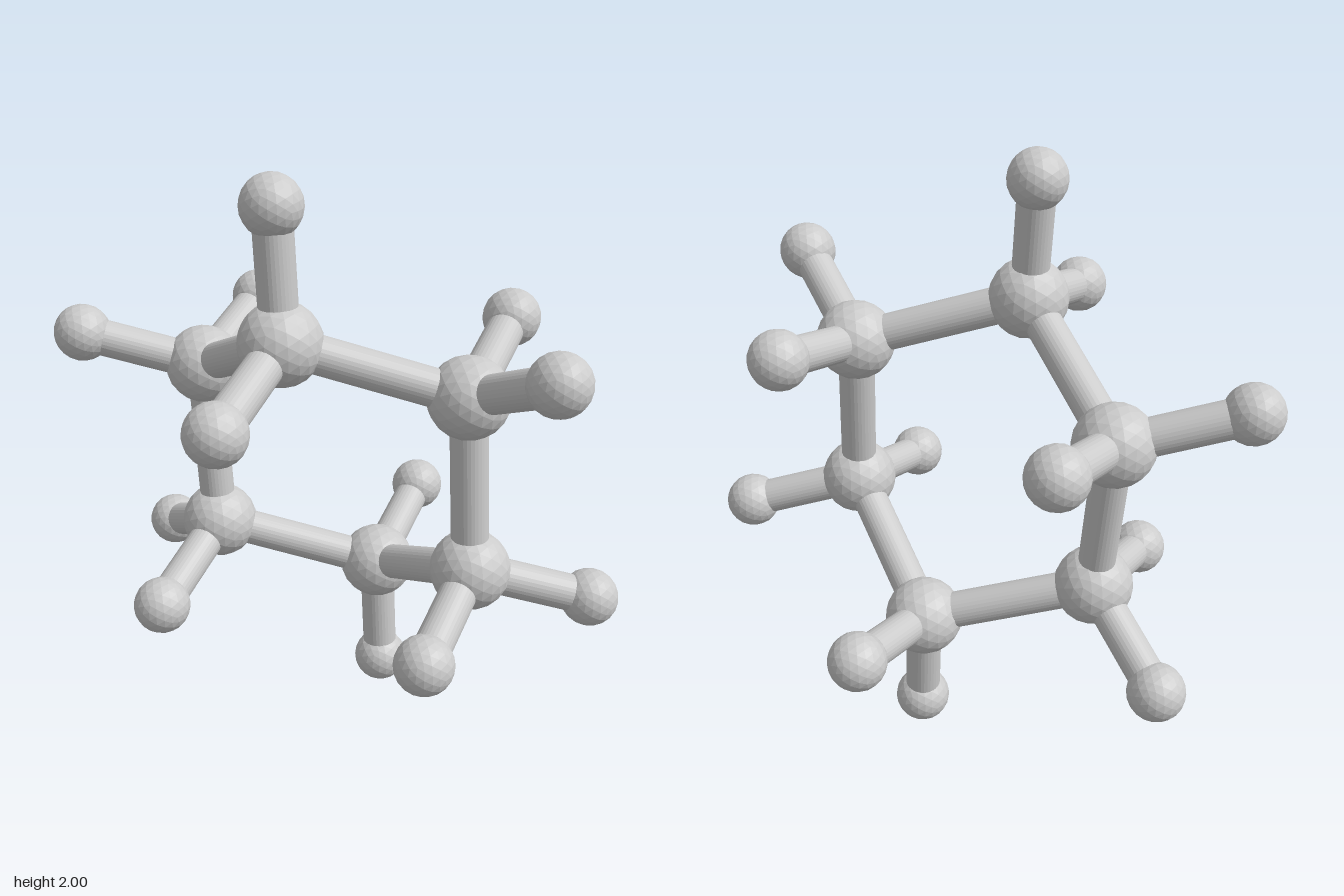
import * as THREE from 'three';

const material = new THREE.MeshStandardMaterial({ color: 0xcccccc, flatShading: true });
const CORE_RADIUS = 0.13, TIP_RADIUS = 0.094, BOND_RADIUS = 0.06;

// Half of the ring: each core atom with its two outer atoms, relative to the centre.
// The other half is the same set reflected through the centre.
const half = [
  { core: [-0.083, 0.504, 0.235], tips: [[-0.111, 0.906, 0.21], [-0.119, 0.39, 0.627]] },
  { core: [0.447, 0.331, 0.05], tips: [[0.738, 0.509, 0.262], [0.485, 0.446, -0.347]] },
  { core: [0.492, -0.248, 0.09], tips: [[0.86, -0.366, -0.054], [0.45, -0.36, 0.472]] },
];

export function createModel() {
  const model = new THREE.Group();
  model.name = 'ringMolecule';

  const coreGeometry = new THREE.IcosahedronGeometry(CORE_RADIUS, 3);
  const tipGeometry = new THREE.IcosahedronGeometry(TIP_RADIUS, 3);
  const up = new THREE.Vector3(0, 1, 0);

  function addAtom(name, geometry, position) {
    const atom = new THREE.Mesh(geometry, material);
    atom.name = name;
    atom.position.copy(position);
    model.add(atom);
  }

  // Round rod joining two atom centres
  function addBond(name, a, b) {
    const direction = b.clone().sub(a);
    const geometry = new THREE.CylinderGeometry(BOND_RADIUS, BOND_RADIUS, direction.length(), 32);
    const bond = new THREE.Mesh(geometry, material);
    bond.name = name;
    bond.position.copy(a).lerp(b, 0.5);
    bond.quaternion.setFromUnitVectors(up, direction.normalize());
    model.add(bond);
  }

  // Cores in order around the ring, with their outer atoms
  const cores = [];
  for (const sign of [1, -1]) {
    const place = (p) => new THREE.Vector3(...p).multiplyScalar(sign).add(up);
    for (const { core, tips } of half) {
      const centre = place(core);
      cores.push(centre);
      addAtom('coreAtom', coreGeometry, centre);
      for (const tip of tips.map(place)) {
        addAtom('outerAtom', tipGeometry, tip);
        addBond('outerBond', centre, tip);
      }
    }
  }

  // Bonds closing the ring
  cores.forEach((core, i) => addBond('ringBond', core, cores[(i + 1) % cores.length]));

  return model;
}
